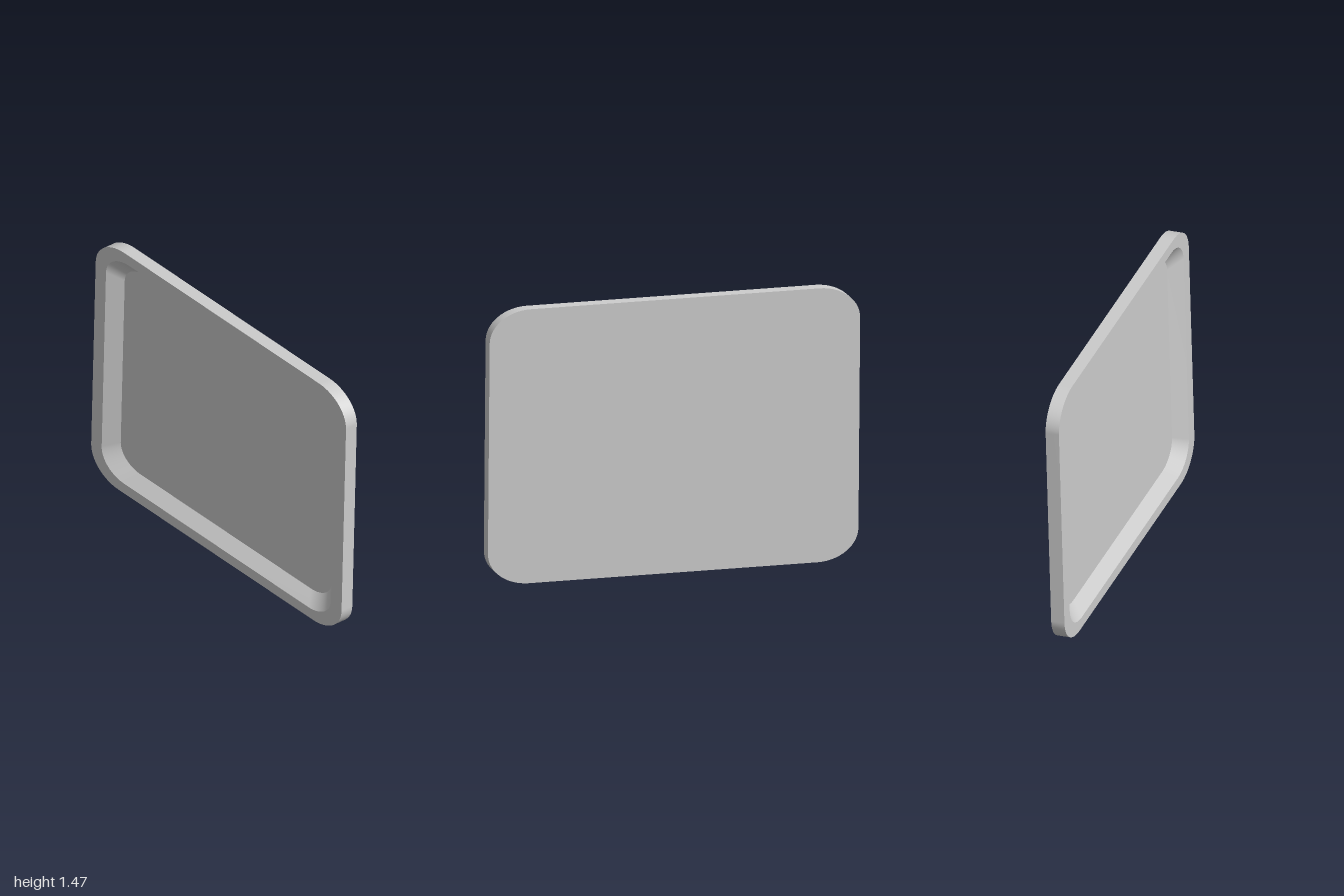
import * as THREE from 'three';

const CORNER_STEPS = 14;

// Counter-clockwise rounded rectangle with elliptical corners
function outline(halfW, halfH, rx, ry) {
  const points = [];
  for (let corner = 0; corner < 4; corner++) {
    const sx = corner === 0 || corner === 3 ? 1 : -1;
    const sy = corner < 2 ? 1 : -1;
    for (let i = 0; i <= CORNER_STEPS; i++) {
      const a = (corner + i / CORNER_STEPS) * Math.PI / 2;
      points.push(new THREE.Vector2(
        sx * (halfW - rx) + rx * Math.cos(a),
        sy * (halfH - ry) + ry * Math.sin(a)));
    }
  }
  return points;
}

// Closed band running from loop a (depth za) to loop b (depth zb)
function band(a, za, b, zb) {
  const n = a.length, positions = [], indices = [];
  a.forEach(p => positions.push(p.x, p.y, za));
  b.forEach(p => positions.push(p.x, p.y, zb));
  for (let i = 0; i < n; i++) {
    const j = (i + 1) % n;
    indices.push(i, j, n + j, i, n + j, n + i);
  }
  const geometry = new THREE.BufferGeometry();
  geometry.setAttribute('position', new THREE.Float32BufferAttribute(positions, 3));
  geometry.setIndex(indices);
  geometry.computeVertexNormals();
  return geometry;
}

export function createModel() {
  const model = new THREE.Group();
  model.name = 'tray';
  const material = new THREE.MeshStandardMaterial({ color: 0xcccccc });
  const add = (name, geometry) => {
    const mesh = new THREE.Mesh(geometry, material);
    mesh.name = name;
    model.add(mesh);
    return mesh;
  };

  const front = 0.0365, back = -0.0365, floor = -0.028;
  const outer = outline(1, 0.733, 0.22, 0.17);
  const lip = outline(0.917, 0.674, 0.18, 0.135);
  const inner = outline(0.842, 0.615, 0.16, 0.115);

  // Outer wall, flat rim and the sloped wall down to the sunken floor
  add('outerWall', band(outer, back, outer, front));
  add('rim', band(outer, front, lip, front));
  add('innerSlope', band(lip, front, inner, floor));

  // Sunken floor and flat back
  add('floor', new THREE.ShapeGeometry(new THREE.Shape(inner))).position.z = floor;
  const backPanel = add('backPanel', new THREE.ShapeGeometry(new THREE.Shape(outer)));
  backPanel.rotation.y = Math.PI;
  backPanel.position.z = back;

  // Lean slightly backwards, standing on the ground
  model.rotation.x = -0.027;
  model.position.y = 0.734;
  return model;
}
